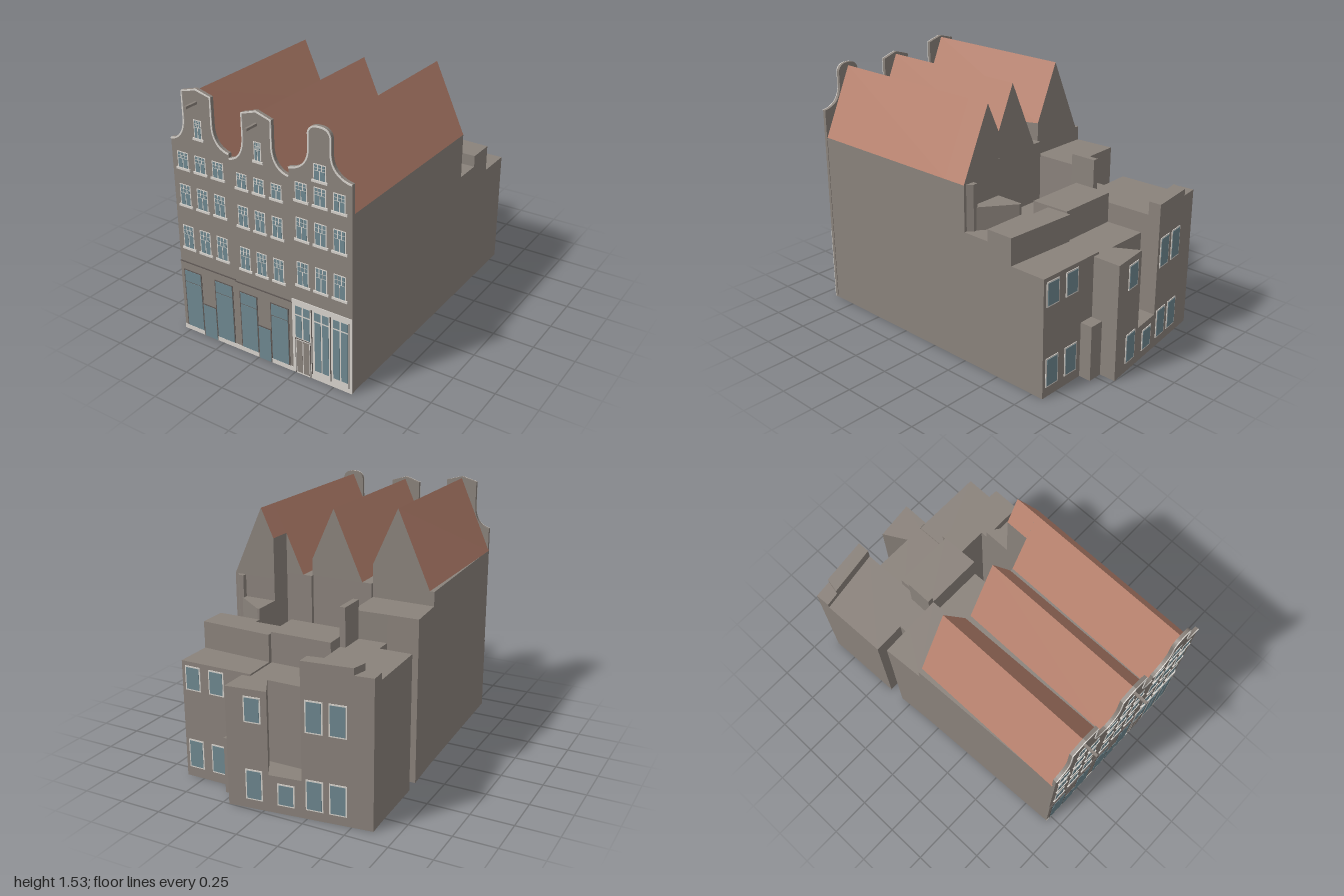
import * as THREE from 'three';

const paint = (name, color, side = THREE.FrontSide) => {
  const m = new THREE.MeshStandardMaterial({ color, side });
  m.name = name;
  return m;
};

export function createModel() {
  const root = new THREE.Group();
  root.name = 'gabledRowHouses';
  const wall = paint('greyBrick', 0x8a827b);
  const wallSheet = paint('greyBrickSheet', 0x8a827b, THREE.DoubleSide);
  const tile = paint('terracottaTile', 0xb9836f, THREE.DoubleSide);
  const glass = paint('blueGlass', 0x6e878f);
  const trim = paint('paleTrim', 0xd6d2cc);
  const dark = paint('darkFrame', 0x5f5855);

  const add = (parent, name, geo, mat) => {
    const m = new THREE.Mesh(geo, mat);
    m.name = name;
    parent.add(m);
    return m;
  };
  // Upright plate spanning x0..x1, y0..y1, from z forward by d
  const plate = (parent, name, x0, x1, y0, y1, z, d, mat) =>
    add(parent, name, new THREE.BoxGeometry(x1 - x0, y1 - y0, d), mat)
      .position.set((x0 + x1) / 2, (y0 + y1) / 2, z + d / 2);
  // Vertical prism over a floor plan of [x, z] corners
  const prism = (name, plan, y1, y0 = 0) => {
    const s = new THREE.Shape(plan.map(([x, z]) => new THREE.Vector2(x, -z)));
    const g = new THREE.ExtrudeGeometry(s, { depth: y1 - y0, bevelEnabled: false });
    g.rotateX(-Math.PI / 2).translate(0, y0, 0);
    return add(root, name, g, wall);
  };
  const sheet = (name, corners, mat) => {
    const pos = [];
    for (let i = 1; i < corners.length - 1; i++) pos.push(...corners[0], ...corners[i], ...corners[i + 1]);
    const g = new THREE.BufferGeometry();
    g.setAttribute('position', new THREE.Float32BufferAttribute(pos, 3));
    g.computeVertexNormals();
    add(root, name, g, mat);
  };

  // Main house bodies
  const E = 1.07;
  prism('leftHouseBody', [[-.54, .9], [-.145, .9], [-.2, -.07], [-.58, -.07]], E);
  prism('middleHouseBody', [[-.145, .9], [.235, .9], [.187, -.09], [-.2, -.09]], E);
  prism('rightHouseBody', [[.235, .9], [.612, .9], [.612, -.26], [.345, -.26], [.345, -.115], [.18, -.115]], E);

  // Roof between two cross-sections of left eave, ridge, right eave
  const roof = (name, front, zf, back, zb) => {
    const f = front.map(([x, y]) => [x, y, zf]), b = back.map(([x, y]) => [x, y, zb]);
    const foot = (p) => [p[0], E, p[2]];
    sheet(name + 'LeftSlope', [f[0], f[1], b[1], b[0]], tile);
    sheet(name + 'RightSlope', [f[1], f[2], b[2], b[1]], tile);
    sheet(name + 'Gable', [foot(b[0]), b[0], b[1], b[2], foot(b[2])], wallSheet);
    sheet(name + 'LeftCheek', [foot(f[0]), f[0], b[0], foot(b[0])], wallSheet);
    sheet(name + 'RightCheek', [foot(f[2]), f[2], b[2], foot(b[2])], wallSheet);
  };
  roof('leftRoof', [[-.545, E], [-.345, 1.52], [-.145, E]], .9, [[-.552, E], [-.35, 1.52], [-.198, 1.18]], -.07);
  roof('middleRoof', [[-.14, E], [.045, 1.48], [.23, E]], .9, [[-.14, E], [.045, 1.48], [.187, 1.165]], -.09);
  roof('rightRoof', [[.235, E], [.424, 1.48], [.612, E]], .9, [[.235, E], [.424, 1.48], [.612, E]], -.115);
  roof('rightRoofBack', [[.345, 1.31], [.424, 1.48], [.612, E]], -.115, [[.345, 1.31], [.424, 1.48], [.612, E]], -.26);

  // Rear extensions around the light shaft and the side notch
  prism('leftRearUpper', [[-.58, -.07], [-.2, -.07], [-.205, -.33], [-.41, -.32], [-.597, -.315]], .985);
  prism('leftRearLink', [[-.41, -.32], [-.205, -.32], [-.208, -.42], [-.41, -.42]], .82);
  prism('leftRearBlock', [[-.603, -.41], [-.205, -.42], [-.218, -.872], [-.615, -.81]], .82);
  prism('leftRearParapetLow', [[-.615, -.81], [-.53, -.823], [-.51, -.913], [-.62, -.9]], .86);
  prism('leftRearParapetHigh', [[-.53, -.823], [-.218, -.872], [-.22, -.948], [-.51, -.913]], .9);
  prism('slabChimney', [[-.24, -.33], [-.205, -.33], [-.205, -.49], [-.24, -.49]], 1.05, .7);
  prism('middleRearCourt', [[-.2, -.09], [.182, -.09], [.172, -.37], [-.205, -.365]], .7);
  prism('middleRearTall', [[-.205, -.365], [.172, -.365], [.165, -.6], [-.21, -.6]], .88);
  prism('middleRearBlock', [[-.21, -.6], [.165, -.6], [.16, -.83], [.21, -.83], [.21, -1], [-.03, -.971], [.05, -.83], [-.218, -.83]], .7);
  prism('middleRearStep', [[-.218, -.83], [.05, -.83], [-.03, -.971], [-.22, -.948]], .22);
  prism('rightRearTall', [[.17, -.47], [.345, -.47], [.345, -.43], [.612, -.43], [.612, -.6], [.165, -.625]], .87);
  prism('rightRearLow', [[.165, -.625], [.612, -.6], [.612, -.825], [.16, -.825]], .71);
  prism('rightRearTerrace', [[.345, -.26], [.612, -.26], [.612, -.43], [.345, -.43]], .8);
  prism('rightRearWedge', [[.345, -.26], [.59, -.26], [.36, -.43], [.345, -.43]], .935, .8);
  prism('rightRearChimney', [[.54, -.26], [.595, -.26], [.57, -.29], [.54, -.29]], E, .8);
  prism('rearPorch', [[.21, -.825], [.3, -.825], [.3, -.9], [.21, -.9]], .335);

  // Front facades with bell gables and a pale coping
  const F = .915;
  const facade = (name, l, r, base, nl, nr, neck, shoulder, peak, round) => {
    const p = new THREE.Path();
    const c = (nl + nr) / 2;
    p.moveTo(l, base);
    p.bezierCurveTo(l + (nl - l) * .65, base + .01, nl, base + .06, nl, neck);
    p.lineTo(nl, shoulder);
    if (round) {
      p.bezierCurveTo(nl + .01, peak - .005, c - .03, peak, c, peak);
      p.bezierCurveTo(c + .03, peak, nr - .01, peak - .005, nr, shoulder);
    } else {
      p.lineTo(c, peak);
      p.lineTo(nr, shoulder);
    }
    p.lineTo(nr, neck);
    p.bezierCurveTo(nr, base + .06, r - (r - nr) * .65, base + .01, r, base);
    const top = p.getPoints(10);
    const front = new THREE.Shape([new THREE.Vector2(l, 0), ...top, new THREE.Vector2(r, 0)]);
    const g = new THREE.ExtrudeGeometry(front, { depth: .02, bevelEnabled: false });
    add(root, name + 'Facade', g.translate(0, 0, F - .02), wall);
    const inner = top.map((q, i) => {
      const t = top[Math.min(i + 1, top.length - 1)].clone().sub(top[Math.max(i - 1, 0)]).normalize();
      return new THREE.Vector2(q.x + t.y * .009, q.y - t.x * .009);
    });
    const band = new THREE.Shape([...top, ...inner.reverse()]);
    add(root, name + 'Coping', new THREE.ExtrudeGeometry(band, { depth: .005, bevelEnabled: false }).translate(0, 0, F), trim);
  };
  facade('left', -.54, -.145, 1.215, -.443, -.245, 1.35, 1.503, 1.53, false);
  facade('middle', -.145, .235, 1.19, -.052, .138, 1.33, 1.465, 1.495, false);
  facade('right', .235, .615, 1.24, .355, .495, 1.37, 1.455, 1.5, true);

  // Sash window: pale frame, paned glass and a sill
  const sash = (x, y0, y1, w) => {
    const g = new THREE.Group();
    g.name = 'sashWindow';
    root.add(g);
    const x0 = x - w / 2, b = .006, split = y0 + (y1 - y0) * .6;
    plate(g, 'frame', x0, x0 + w, y0, y1, F, .003, trim);
    plate(g, 'sill', x0 - .01, x0 + w + .01, y0 - .007, y0 + .006, F, .008, trim);
    const panes = (cols, rows, ya, yb) => {
      const cw = (w - b) / cols, rh = (yb - ya) / rows;
      for (let i = 0; i < cols; i++) for (let j = 0; j < rows; j++)
        plate(g, 'pane', x0 + b + i * cw, x0 + (i + 1) * cw, ya + j * rh + b * .6, ya + (j + 1) * rh, F + .003, .001, glass);
    };
    panes(2, 1, y0 + .004, split);
    panes(3, 2, split, y1 - .004);
  };
  const houses = [
    { xs: [-.465, -.345, -.225], w: .075, floors: [[.55, .695], [.82, .95], [1.045, 1.145]], attic: [-.345, 1.245, 1.355, .052] },
    { xs: [-.068, .043, .155], w: .068, floors: [[.54, .68], [.805, .93], [1.03, 1.12]], attic: [.045, 1.215, 1.325, .046] },
    { xs: [.31, .425, .54], w: .074, floors: [[.565, .71], [.84, .97], [1.065, 1.17]], attic: [.425, 1.205, 1.298, .075] },
  ];
  for (const h of houses) {
    for (const [a, b] of h.floors) for (const x of h.xs) sash(x, a, b, h.w);
    sash(...h.attic);
  }

  // Hoist beams
  for (const [x, y] of [[-.345, 1.453], [.043, 1.422]]) plate(root, 'hoistBeam', x - .007, x + .007, y - .007, y + .007, .9, .1, wall);

  // Shop fronts of the left and middle houses
  const shop = (l, r, top, glassTop, bays, door) => {
    plate(root, 'shopFront', l, r, 0, top, F, .004, wall);
    plate(root, 'shopCornice', l, r, top - .003, top + .002, F, .006, dark);
    plate(root, 'plinth', l, door[0], 0, .028, F + .004, .003, trim);
    plate(root, 'plinth', door[1], r, 0, .028, F + .004, .003, trim);
    for (const [a, b] of bays) {
      plate(root, 'shopFrame', a - .007, b + .007, .028, glassTop + .006, F + .004, .002, dark);
      plate(root, 'shopGlass', a, b, .03, glassTop - .075, F + .006, .002, glass);
      plate(root, 'shopTransom', a, b, glassTop - .07, glassTop, F + .006, .002, glass);
    }
    plate(root, 'doorFrame', door[0], door[1], 0, .217, F + .004, .003, dark);
    plate(root, 'doorGlass', door[0] + .005, door[1] - .005, 0, .211, F + .007, .001, glass);
  };
  shop(-.54, -.145, .455, .4, [[-.512, -.398], [-.29, -.173]], [-.394, -.294]);
  shop(-.145, .235, .447, .388, [[-.113, -.004], [.097, .207]], [.001, .091]);

  // Pale shop front of the right house
  plate(root, 'paleShopFront', .235, .615, 0, .47, F, .004, trim);
  for (const x of [.362, .482, .598]) plate(root, 'pilasterGroove', x - .004, x + .002, .03, .44, F + .004, .001, dark);
  for (const [a, b, y] of [[.257, .348, .235], [.38, .47, .06], [.498, .59, .06]]) {
    const m = (a + b) / 2;
    for (const [p, q] of [[a, m - .005], [m + .005, b]]) {
      plate(root, 'paleShopGlass', p, q, y, .372, F + .004, .002, glass);
      plate(root, 'paleShopFanlight', p, q, .382, .432, F + .004, .002, glass);
    }
  }
  plate(root, 'panelDoorEdge', .252, .353, 0, .228, F + .004, .001, dark);
  plate(root, 'panelDoorFrame', .257, .348, 0, .223, F + .005, .001, trim);
  for (const x of [.262, .306]) plate(root, 'doorPanel', x, x + .038, .01, .218, F + .006, .001, wall);

  // Rear windows on the slanted wall and on the straight wall
  const rearWindow = (x, y0, y1, w, z, turn) => {
    const g = new THREE.Group();
    g.name = 'rearWindow';
    g.position.set(x, 0, z);
    g.rotation.y = Math.PI + turn;
    plate(g, 'frame', -w / 2, w / 2, y0, y1, 0, .004, trim);
    plate(g, 'pane', -w / 2 + .008, w / 2 - .008, y0 + .008, y1 - .008, .004, .002, glass);
    root.add(g);
  };
  const slant = Math.atan2(.1, .83);
  const slantZ = (x) => -.9 - (x + .62) * .1 / .83;
  for (const [x, a, b] of [[-.293, .505, .69], [-.425, .505, .69], [-.293, .055, .235], [-.425, .055, .235],
    [-.13, .05, .18], [.055, .51, .66], [.055, .055, .235]]) rearWindow(x, a, b, .1, slantZ(x), slant);
  for (const x of [.54, .385]) for (const [a, b] of [[.54, .685], [.06, .235]]) rearWindow(x, a, b, .1, -.825, 0);

  return root;
}
